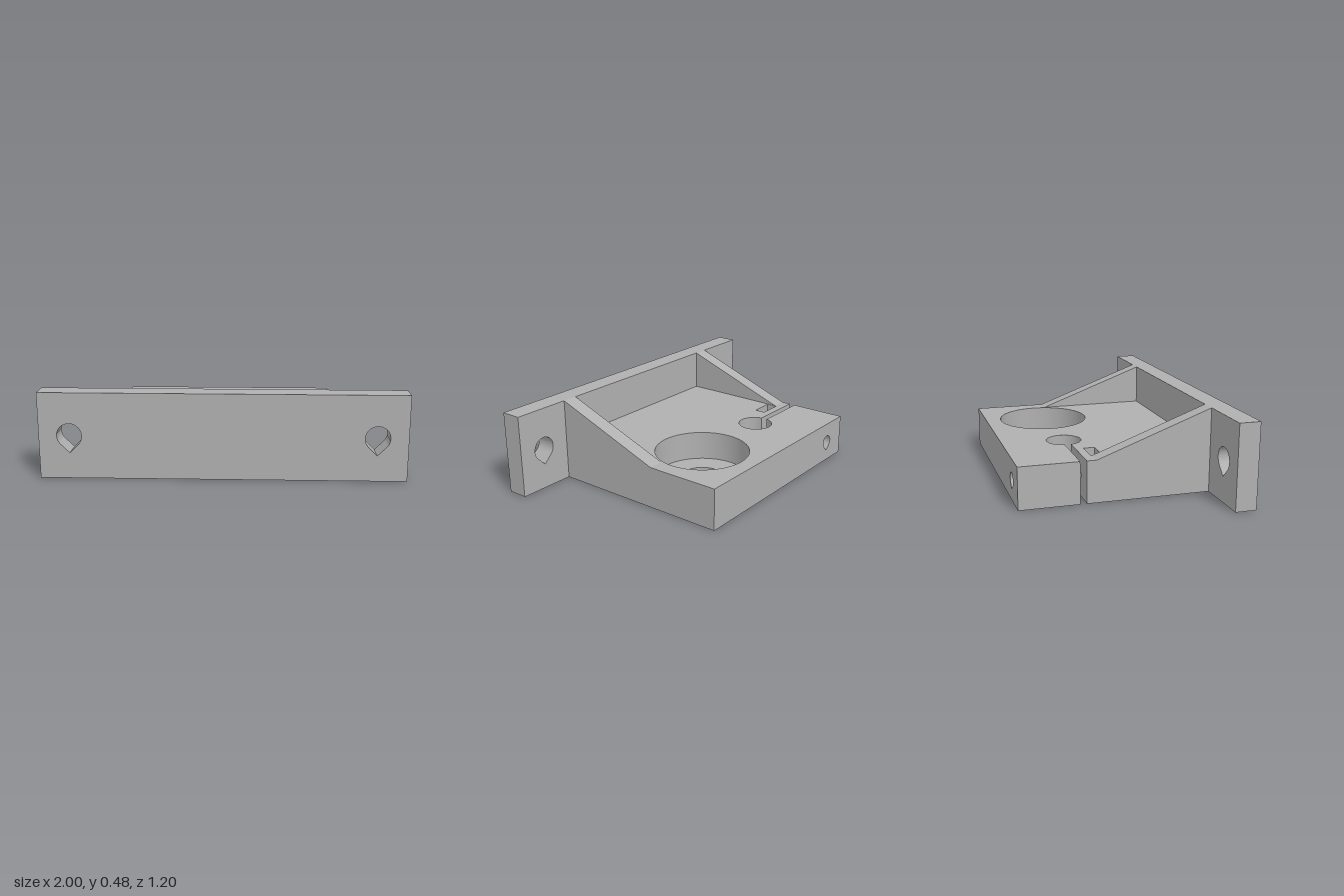
import * as THREE from 'three';
import { toCreasedNormals } from 'three/addons/utils/BufferGeometryUtils.js';

const grey = new THREE.MeshStandardMaterial({ color: 0xb0b0b0 });
grey.name = 'grey plastic';

const polygon = (points) => new THREE.Shape(points.map(([x, y]) => new THREE.Vector2(x, y)));
const rect = (x0, x1, y0, y1) => polygon([[x0, y0], [x1, y0], [x1, y1], [x0, y1]]);

// Round hole with its point at the bottom
function teardrop(x, y, r) {
  const path = new THREE.Path();
  path.absarc(x, y, r, -Math.PI / 4, Math.PI * 1.25, false);
  path.lineTo(x, y - r * Math.SQRT2);
  path.closePath();
  return path;
}

function circle(x, y, r) {
  const path = new THREE.Path();
  path.absarc(x, y, r, 0, Math.PI * 2, false);
  return path;
}

const extrude = (shape, depth) =>
  new THREE.ExtrudeGeometry(shape, { depth, bevelEnabled: false, curveSegments: 48 });

export function createModel() {
  const model = new THREE.Group();
  model.name = 'bearingBracket';

  const add = (name, geometry) => {
    const mesh = new THREE.Mesh(toCreasedNormals(geometry, 0.5), grey);
    mesh.name = name;
    model.add(mesh);
  };
  // Shape in x and y, extruded from z0 to z1
  const addAlongZ = (name, shape, z0, z1) =>
    add(name, extrude(shape, z1 - z0).translate(0, 0, z0));
  // Shape in x and z, extruded from y0 to y1
  const addAlongY = (name, shape, y0, y1) =>
    add(name, extrude(shape, y1 - y0).rotateX(Math.PI / 2).translate(0, y1, 0));

  const W = 0.66, top = 0.24, height = 0.48, plateBack = 0.48, back = -0.6;
  const slotBack = -0.262, slotFront = -0.225, slotMid = (slotBack + slotFront) / 2;
  const jawX = -0.36, jawEnd = -0.05;

  // Mounting plate with two screw holes
  const plate = rect(-1, 1, 0, height);
  plate.holes.push(teardrop(-0.833, 0.24, 0.068), teardrop(0.833, 0.24, 0.068));
  addAlongZ('mountingPlate', plate, plateBack, 0.6);

  // Base: rod hole opening into the clamp slot, and a stepped bearing seat
  const baseShape = (bearingRadius) => {
    const r = 0.1, a = Math.asin((slotFront - slotBack) / 2 / r);
    const s = polygon([[-W, plateBack], [W, plateBack], [W, back], [jawX, back], [jawX, slotBack]]);
    s.absarc(-0.233, slotMid, r, -Math.PI + a, Math.PI - a, false);
    s.lineTo(jawX, slotFront);
    s.lineTo(jawX, jawEnd);
    s.lineTo(-W, jawEnd);
    s.closePath();
    s.holes.push(circle(0.3, slotMid, bearingRadius));
    return s;
  };
  addAlongY('baseFloor', baseShape(0.134), 0, 0.072);
  addAlongY('baseBearingSeat', baseShape(0.268), 0.072, top);

  // Clamp jaws, drilled for the screw
  const drilled = () => {
    const s = rect(-W, jawX, 0, top);
    s.holes.push(teardrop(-0.497, 0.12, 0.04));
    return s;
  };
  const nutBack = -0.18, nutFront = -0.115;
  addAlongZ('backJaw', drilled(), back, slotBack);
  addAlongZ('frontJaw', drilled(), slotFront, nutBack);
  addAlongZ('screwEnd', drilled(), nutFront, jawEnd);

  // Nut pocket open at the top
  addAlongZ('nutPocket', polygon([
    [-W, 0], [jawX, 0], [jawX, top], [-0.427, top],
    [-0.427, 0.05], [-0.567, 0.05], [-0.567, top], [-W, top],
  ]), nutBack, nutFront);

  // Sloping side ribs
  const ribWidth = 0.09;
  for (const [name, outer] of [['leftRib', W], ['rightRib', -W + ribWidth]]) {
    const rib = polygon([[-0.17, top], [plateBack, top], [plateBack, height]]);
    add(name, extrude(rib, ribWidth).rotateY(-Math.PI / 2).translate(outer, 0, 0));
  }

  return model;
}
